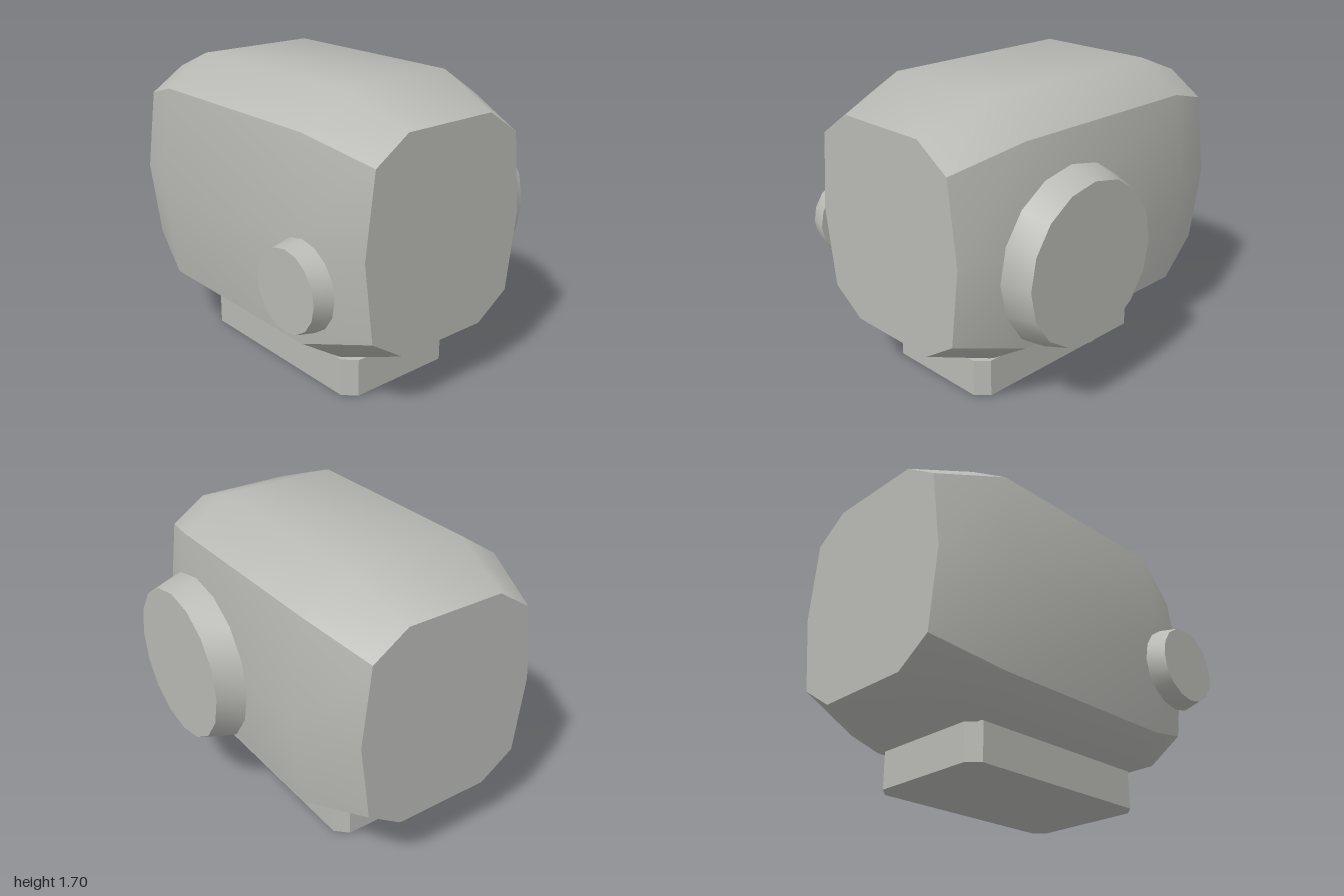
import * as THREE from 'three';
import { toCreasedNormals } from 'three/addons/utils/BufferGeometryUtils.js';

const CREASE = 0.7;

export function createModel() {
  const group = new THREE.Group();
  const grey = new THREE.MeshStandardMaterial({ color: 0xb8b8b4 });
  grey.name = 'grey';

  function add(name, geometry, x, y, z) {
    const mesh = new THREE.Mesh(toCreasedNormals(geometry, CREASE), grey);
    mesh.name = name;
    mesh.position.set(x, y, z);
    group.add(mesh);
  }

  // Faceted barrel body: one ten-sided section, shrunk at both ends
  add('body', bodyGeometry(), 0, 0.957, 0.025);

  // Base block with chamfered upright corners
  const w = 0.645, d = 0.385, c = 0.068;
  const outline = new THREE.Shape([
    [w, -d + c], [w, d - c], [w - c, d], [-w + c, d],
    [-w, d - c], [-w, -d + c], [-w + c, -d], [w - c, -d],
  ].map(([x, y]) => new THREE.Vector2(x, y)));
  const base = new THREE.ExtrudeGeometry(outline, { depth: 0.22, bevelEnabled: false });
  base.rotateX(-Math.PI / 2);
  add('base', base, 0.055, 0, 0.025);

  // Small tapered knob on the front, large tapered disc on the back
  const knob = new THREE.CylinderGeometry(0.222, 0.245, 0.11, 16).rotateX(Math.PI / 2);
  add('frontKnob', knob, 0.7, 0.78, 0.78);
  const disc = new THREE.CylinderGeometry(0.45, 0.5, 0.16, 16).rotateX(-Math.PI / 2);
  add('backDisc', disc, 0.35, 0.868, -0.755);

  return group;
}

function bodyGeometry() {
  // Section as [z, y], running from the top down the front and up the back
  const half = [[0.365, 0.743], [0.627, 0.57], [0.7, 0], [0.627, -0.57], [0.365, -0.743]];
  const section = [...half, ...half.map(([z, y]) => [-z, -y])];
  const stations = [[-1, 0.8], [-0.6, 1], [0.6, 1], [1, 0.8]];
  const n = section.length;
  const positions = [];
  const index = [];

  for (const [x, s] of stations) {
    for (const [z, y] of section) positions.push(x, y * s, z * s);
  }
  for (let s = 0; s < stations.length - 1; s++) {
    for (let i = 0; i < n; i++) {
      const j = (i + 1) % n;
      const a = s * n + i, b = s * n + j;
      index.push(b, b + n, a + n, b, a + n, a);
    }
  }
  // Flat ends
  const last = (stations.length - 1) * n;
  for (let i = 1; i < n - 1; i++) {
    index.push(0, i + 1, i);
    index.push(last, last + i, last + i + 1);
  }

  const geometry = new THREE.BufferGeometry();
  geometry.setAttribute('position', new THREE.Float32BufferAttribute(positions, 3));
  geometry.setIndex(index);
  return geometry;
}
